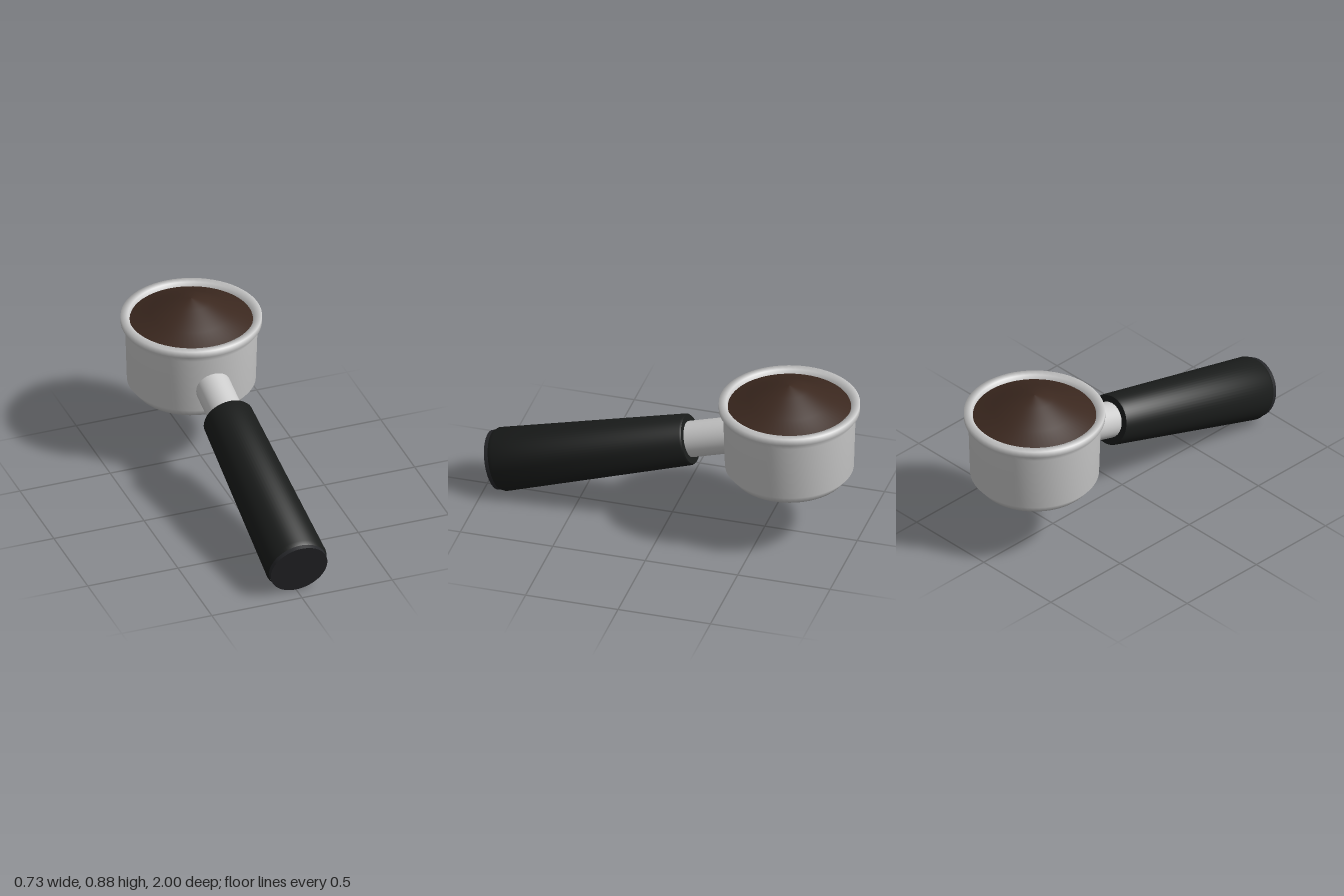
import * as THREE from 'three';
import { toCreasedNormals } from 'three/addons/utils/BufferGeometryUtils.js';

const metal = new THREE.MeshStandardMaterial({ color: 0xcccccc });
const rubber = new THREE.MeshStandardMaterial({ color: 0x1a1c1b });
const capDark = new THREE.MeshStandardMaterial({ color: 0x252629 });
const coffee = new THREE.MeshStandardMaterial({ color: 0x3b281f });

// Turned part from [radius, height] pairs, bottom to top
function turned(name, profile, material, crease) {
  let geometry = new THREE.LatheGeometry(profile.map(([r, y]) => new THREE.Vector2(r, y)), 64);
  if (crease) geometry = toCreasedNormals(geometry, crease);
  const mesh = new THREE.Mesh(geometry, material);
  mesh.name = name;
  return mesh;
}

export function createModel() {
  const model = new THREE.Group();
  model.name = 'portafilter';

  // Basket with flared rim, and the heaped coffee inside it
  const head = new THREE.Group();
  head.name = 'head';
  head.position.z = -0.633;
  head.add(
    turned('basket', [
      [0, 0.352], [0.293, 0.352], [0.335, 0.405], [0.344, 0.71],
      [0.367, 0.745], [0.367, 0.782], [0.328, 0.782], [0.317, 0.74],
    ], metal),
    turned('groundCoffee', [
      [0.32, 0.76], [0.21, 0.802], [0.095, 0.865], [0, 0.886],
    ], coffee),
  );
  model.add(head);

  // Sloping handle; its local y runs from the end cap up to the basket
  const handle = new THREE.Group();
  handle.name = 'handle';
  handle.position.set(0, 0.153, 0.956);
  handle.rotation.x = -THREE.MathUtils.degToRad(90 - 16.5);
  handle.add(
    turned('endCap', [[0, 0], [0.156, 0], [0.158, 0.025]], capDark, 0.6),
    turned('grip', [
      [0.158, 0.022], [0.167, 0.045], [0.135, 1.09], [0.129, 1.1], [0, 1.1],
    ], rubber, 0.6),
    turned('neck', [[0.095, 1.08], [0.095, 1.38]], metal),
  );
  model.add(handle);

  return model;
}
